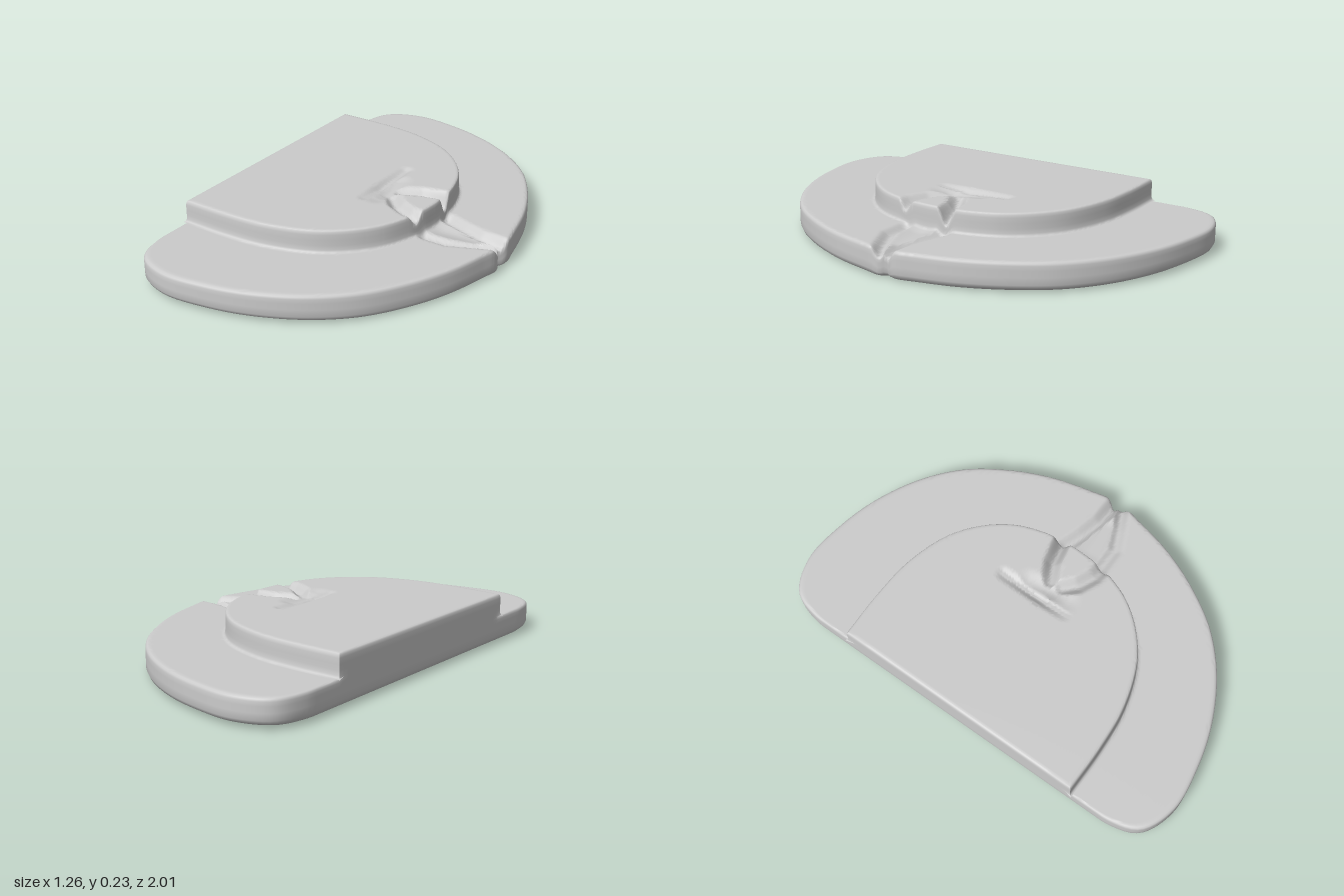
import * as THREE from 'three';
import { toCreasedNormals } from 'three/addons/utils/BufferGeometryUtils.js';

const HALF = 120, FLAT = 40, BASE_Y = 0.132, TOP_Y = 0.235;
const CENTRE = [-0.1, 0];

// Half outlines [x, z], from the broken straight edge round to the groove at z = 0
const baseHalf = [[-0.625, -0.6], [-0.625, -0.78], [-0.575, -0.93], [-0.42, -1], [-0.2, -0.982], [0, -0.925],
  [0.2, -0.82], [0.36, -0.68], [0.48, -0.5], [0.56, -0.32], [0.607, -0.14], [0.624, -0.045], [0.602, 0]];
const upperHalf = [[-0.625, -0.6], [-0.4, -0.602], [-0.2, -0.585], [0, -0.52], [0.13, -0.425],
  [0.22, -0.31], [0.268, -0.19], [0.285, -0.1], [0.292, 0]];

// Chipped channels: points [x, z, depth] and half width
const upperCuts = [
  { w: 0.04, p: [[0, -0.2, 0.012], [0, 0, 0.025], [0, 0.13, 0.008]] },
  { w: 0.075, p: [[0.03, -0.08, 0.014], [0.06, 0.04, 0.024], [0.05, 0.1, 0.01]] },
  { w: 0.05, p: [[0.09, -0.01, 0.03], [0.18, -0.055, 0.05], [0.32, -0.085, 0.09]] },
  { w: 0.05, p: [[0.09, 0.05, 0.03], [0.15, 0.105, 0.035], [0.23, 0.14, 0.04], [0.32, 0.15, 0.06]] },
];
const baseCuts = [
  { w: 0.05, p: [[0.31, -0.07, 0.03], [0.4, -0.04, 0.03], [0.5, -0.015, 0.035], [0.65, -0.005, 0.055]] },
  { w: 0.045, p: [[0.31, 0.12, 0.025], [0.42, 0.12, 0.025], [0.52, 0.075, 0.03], [0.65, 0.015, 0.05]] },
  { w: 0.1, p: [[0.35, 0.03, 0.016], [0.5, 0.02, 0.018]] },
];

function cutDepth(cuts, x, z) {
  let depth = 0;
  for (const { w, p } of cuts) {
    for (let i = 0; i + 1 < p.length; i++) {
      const [ax, az, ad] = p[i], [bx, bz, bd] = p[i + 1];
      const dx = bx - ax, dz = bz - az;
      const t = THREE.MathUtils.clamp(((x - ax) * dx + (z - az) * dz) / (dx * dx + dz * dz), 0, 1);
      const dist = Math.hypot(x - ax - t * dx, z - az - t * dz);
      depth = Math.max(depth, (ad + t * (bd - ad)) * (1 - THREE.MathUtils.smoothstep(dist, 0, w)));
    }
  }
  return depth;
}

// Closed outline: curved arc (denser near the groove) followed by the straight edge
function outline(half) {
  const curve = new THREE.CatmullRomCurve3(half.map(([x, z]) => new THREE.Vector3(x, 0, z)));
  curve.arcLengthDivisions = 800;
  const side = [];
  for (let i = 0; i <= HALF; i++) {
    const v = curve.getPointAt(1 - Math.pow(1 - i / HALF, 1.6));
    side.push([Math.max(v.x, -0.625), v.z]);
  }
  const pts = [...side, ...side.slice(0, -1).reverse().map(([x, z]) => [x, -z])];
  for (let i = 1; i < FLAT; i++) pts.push([-0.625, 0.6 - 1.2 * i / FLAT]);
  return pts;
}

const scaled = (pts, k, keepFlat = false) => pts.map(([x, z], i) => keepFlat && i > 2 * HALF ? [x, z]
  : [CENTRE[0] + (x - CENTRE[0]) * k, CENTRE[1] + (z - CENTRE[1]) * k]);
const mixed = (a, b, t) => a.map(([x, z], i) => [x + (b[i][0] - x) * t, z + (b[i][1] - z) * t]);

function steppedBody() {
  const base = outline(baseHalf), upper = outline(upperHalf);
  const rings = [];
  const add = (pts, y) => rings.push(pts.map(([x, z]) => [x, y, z]));

  // Underside and rounded outer wall
  for (const [k, y] of [[0, 0.002], [0.6, 0.002], [0.95, 0.002], [0.975, 0.006], [0.992, 0.016], [1, 0.032],
    [1, 0.065], [1, 0.095]]) add(scaled(base, k), y);
  for (const [k, y] of [[1, 0.115], [0.997, 0.125], [0.99, 0.13]]) add(scaled(base, k, true), y);

  // Lower ledge running in to the foot of the step
  const rim = scaled(base, 0.98, true), foot = scaled(upper, 1.02, true);
  for (let i = 0; i <= 30; i++) add(mixed(rim, foot, i / 30), BASE_Y);

  // Step wall with soft edges
  for (const [k, y] of [[1.008, 0.136], [1.002, 0.145]]) add(scaled(upper, k, true), y);
  for (const [k, y] of [[1, 0.165], [1, 0.19], [1, 0.215], [0.997, 0.227], [0.99, 0.233]]) add(scaled(upper, k), y);

  // Raised top
  for (let i = 0; i <= 44; i++) add(scaled(upper, 0.98 * (1 - i / 44)), TOP_Y);

  // Carve the chipped groove and tilt the underside slightly
  const position = [], index = [], n = base.length;
  for (const ring of rings) for (const [x, y, z] of ring) {
    const low = THREE.MathUtils.clamp(y / BASE_Y, 0, 1);
    const high = THREE.MathUtils.clamp((y - BASE_Y) / (TOP_Y - BASE_Y), 0, 1);
    const cut = low * cutDepth(baseCuts, x, z) * (1 - high) + high * cutDepth(upperCuts, x, z);
    position.push(x, y - cut + (1 - low) * 0.012 * (0.6 - x) / 1.2, z);
  }
  for (let j = 0; j + 1 < rings.length; j++) for (let i = 0; i < n; i++) {
    const a = j * n + i, c = j * n + (i + 1) % n;
    index.push(a, a + n, c, c, a + n, c + n);
  }
  const geometry = new THREE.BufferGeometry();
  geometry.setAttribute('position', new THREE.Float32BufferAttribute(position, 3));
  geometry.setIndex(index);
  return toCreasedNormals(geometry, 0.9);
}

export function createModel() {
  const group = new THREE.Group();
  group.name = 'brokenSteppedDisc';
  const body = new THREE.Mesh(steppedBody(), new THREE.MeshStandardMaterial({ color: 0xcccccc }));
  body.name = 'steppedHalfDisc';
  group.add(body);
  return group;
}
